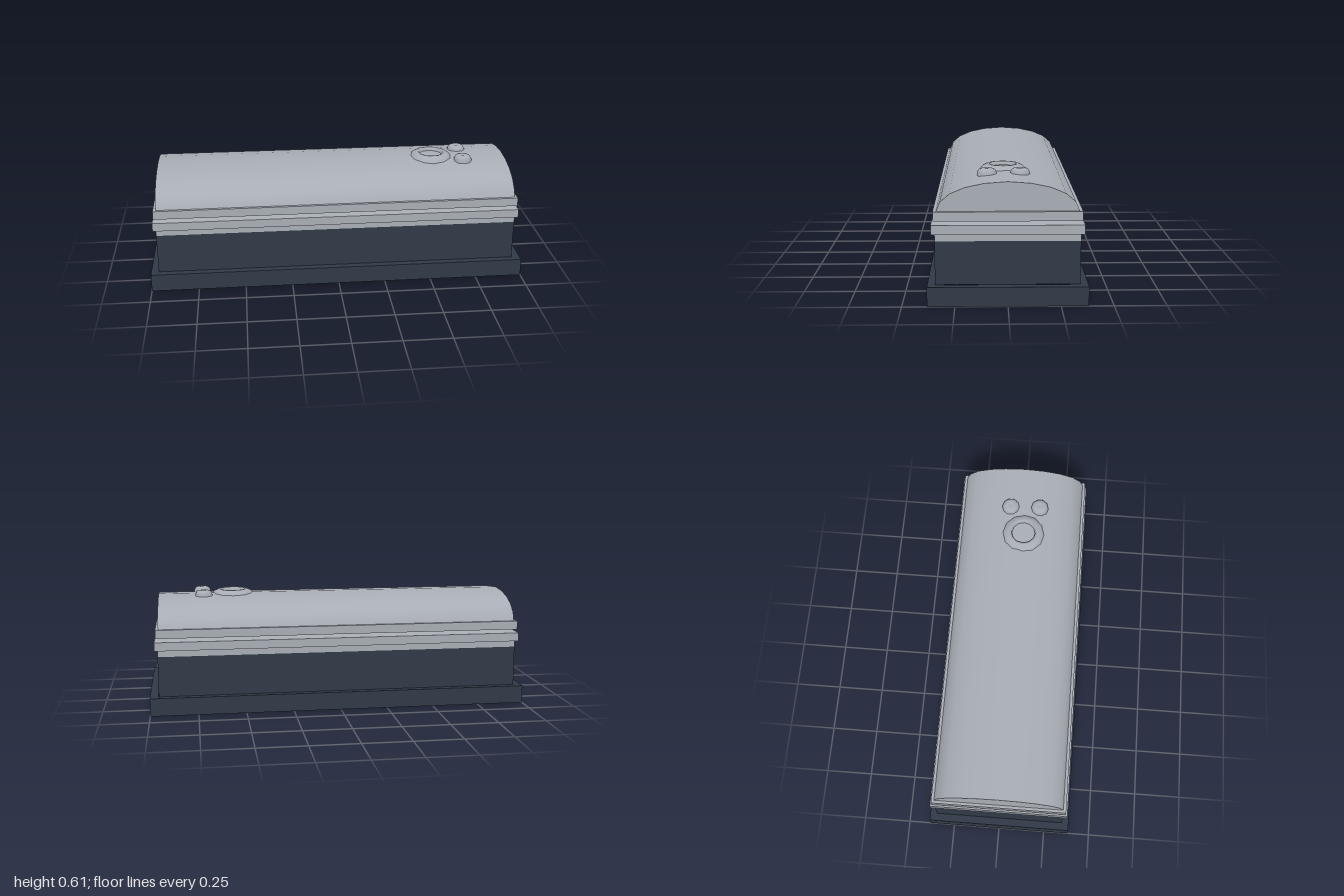
import * as THREE from 'three';

const dark = new THREE.MeshStandardMaterial({ name: 'dark slate', color: 0x2f3946, side: THREE.DoubleSide });
const grey = new THREE.MeshStandardMaterial({ name: 'pale grey', color: 0xa8adb5, side: THREE.DoubleSide });

// Open rectangular skin through levels of [half x, half z, y], shaded flat
function rectangularSkin(levels, cx = 0) {
  const pos = [];
  const ring = ([hx, hz, y]) => [[cx + hx, y, hz], [cx + hx, y, -hz], [cx - hx, y, -hz], [cx - hx, y, hz]];
  for (let i = 0; i < levels.length - 1; i++) {
    const a = ring(levels[i]), b = ring(levels[i + 1]);
    for (let k = 0; k < 4; k++) {
      const n = (k + 1) % 4;
      pos.push(...a[k], ...a[n], ...b[n], ...a[k], ...b[n], ...b[k]);
    }
  }
  const g = new THREE.BufferGeometry();
  g.setAttribute('position', new THREE.Float32BufferAttribute(pos, 3));
  g.computeVertexNormals();
  return g;
}

// Arched roof sheet swept along x, with smooth normals
function archSheet(profile, x0, x1) {
  const pos = [], index = [];
  profile.forEach(([z, y], i) => {
    pos.push(x0, y, z, x1, y, z);
    if (i < profile.length - 1) {
      const a = i * 2;
      index.push(a, a + 1, a + 3, a, a + 3, a + 2);
    }
  });
  const g = new THREE.BufferGeometry();
  g.setAttribute('position', new THREE.Float32BufferAttribute(pos, 3));
  g.setIndex(index);
  g.computeVertexNormals();
  return g;
}

export function createModel() {
  const model = new THREE.Group();
  const add = (name, geometry, material) => {
    const mesh = new THREE.Mesh(geometry, material);
    mesh.name = name;
    model.add(mesh);
    return mesh;
  };
  const cx = -0.003;

  // Hollow plinth and body, open underneath
  add('plinth', rectangularSkin([[1, 0.381, 0], [1, 0.381, 0.094], [0.957, 0.344, 0.094]]), dark);
  add('body', rectangularSkin([[0.957, 0.344, 0.094], [0.957, 0.344, 0.305]], cx), dark);

  // Pale band, lower lip, V groove and upper lip
  add('lipsAndGroove', rectangularSkin([
    [0.957, 0.344, 0.305], [0.957, 0.344, 0.339],
    [0.972, 0.361, 0.339], [0.972, 0.361, 0.384],
    [0.885, 0.262, 0.392],
    [0.966, 0.351, 0.402], [0.966, 0.351, 0.447],
    [0.951, 0.336, 0.447],
  ], cx), grey);

  // Arched lid with flat ends
  const half = [[0.336, 0.447], [0.318, 0.49], [0.272, 0.53], [0.2, 0.56], [0.11, 0.579]];
  const arch = [...half, [0, 0.587], ...half.map(([z, y]) => [-z, y]).reverse()];
  add('lid', archSheet(arch, cx - 0.951, cx + 0.951), grey);
  const endShape = new THREE.Shape(arch.map(([z, y]) => new THREE.Vector2(z, y)));
  for (const side of [-1, 1]) {
    const end = add(side > 0 ? 'leftLidEnd' : 'rightLidEnd', new THREE.ShapeGeometry(endShape), grey);
    end.rotation.y = side * Math.PI / 2;
    end.position.x = cx + side * 0.951;
  }

  // Large ring boss and two small knobs on the lid
  const turned = (name, profile, segments, x, z) => {
    const g = new THREE.LatheGeometry(profile.map(([r, y]) => new THREE.Vector2(r, y)), segments);
    add(name, g, grey).position.set(x, 0, z);
  };
  turned('ringBoss', [[0.115, 0.574], [0.114, 0.582], [0.1, 0.596], [0.08, 0.604], [0.068, 0.604], [0.064, 0.586]],
    12, 0.545, 0.018);
  const knob = [[0.049, 0.574], [0.047, 0.592], [0.039, 0.605], [0.023, 0.61], [0.012, 0.61], [0.008, 0.607], [0, 0.607]];
  turned('frontKnob', knob, 10, 0.71, 0.098);
  turned('backKnob', knob, 10, 0.705, -0.064);

  return model;
}
